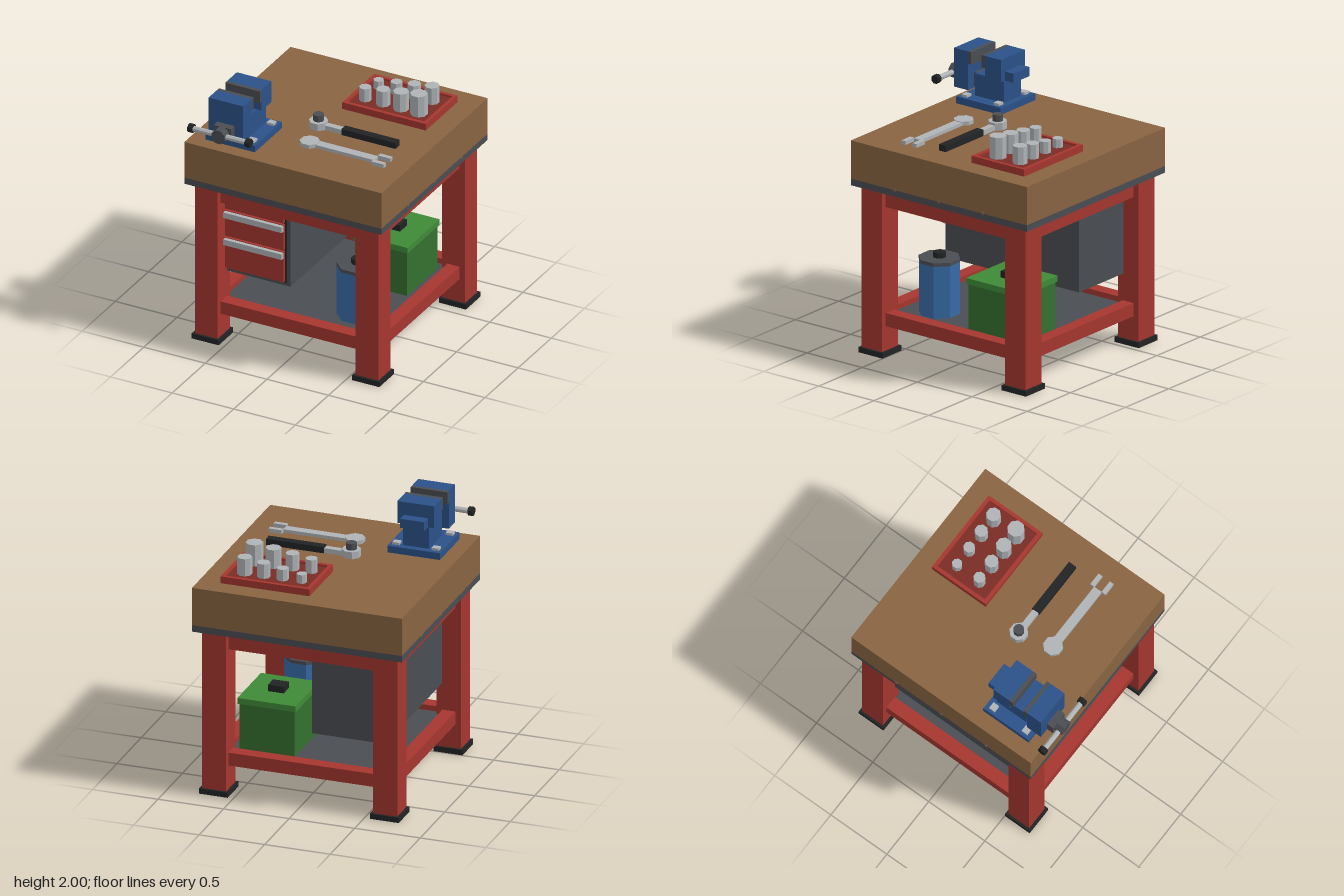
import * as THREE from 'three';

const mat = (name, color) => {
  const m = new THREE.MeshStandardMaterial({ color, flatShading: true });
  m.name = name;
  return m;
};

export function createModel() {
  const wood = mat('wood', 0x886442), red = mat('redPaint', 0xa6362f), darkRed = mat('trayRed', 0x7a2c24);
  const steel = mat('darkSteel', 0x4a4d52), black = mat('blackRubber', 0x222324), metal = mat('brightMetal', 0xb0b4b7);
  const viseBlue = mat('viseBlue', 0x2b5288), canBlue = mat('canBlue', 0x386ba8);
  const green = mat('boxGreen', 0x357030), lidGreen = mat('lidGreen', 0x3f8a38);

  const model = new THREE.Group();
  model.name = 'workbench';
  const group = (name) => {
    const g = new THREE.Group();
    g.name = name;
    model.add(g);
    return g;
  };
  // Box given by its limits on each axis
  const box = (parent, name, m, x0, x1, y0, y1, z0, z1) => {
    const mesh = new THREE.Mesh(new THREE.BoxGeometry(x1 - x0, y1 - y0, z1 - z0), m);
    mesh.position.set((x0 + x1) / 2, (y0 + y1) / 2, (z0 + z1) / 2);
    mesh.name = name;
    parent.add(mesh);
    return mesh;
  };
  // Octagonal prism, flats facing the axes; r is the distance to the flats
  const prism = (parent, name, m, r, len, x, y, z, axis = 'y') => {
    const geo = new THREE.CylinderGeometry(r / Math.cos(Math.PI / 8), r / Math.cos(Math.PI / 8), len, 8);
    geo.rotateY(Math.PI / 8);
    if (axis === 'x') geo.rotateZ(Math.PI / 2);
    if (axis === 'z') geo.rotateX(Math.PI / 2);
    const mesh = new THREE.Mesh(geo, m);
    mesh.position.set(x, y, z);
    mesh.name = name;
    parent.add(mesh);
    return mesh;
  };

  // Table top
  const top = group('tableTop');
  box(top, 'woodTop', wood, -0.8, 0.8, 1.32, 1.61, -0.84, 0.76);
  box(top, 'steelPlate', steel, -0.8, 0.8, 1.27, 1.32, -0.84, 0.76);
  for (const z of [-0.44, -0.04, 0.36]) prism(top, 'topDowel', wood, 0.012, 1.606, 0, 1.322, z, 'x');

  // Legs, feet, aprons and lower rails
  const frame = group('frame');
  const legX = 0.652, legZ = [-0.692, 0.612], half = 0.0925, rail = 0.05;
  for (const z of legZ) {
    for (const x of [-legX, legX]) {
      box(frame, 'leg', red, x - half, x + half, 0.04, 1.27, z - half, z + half);
      box(frame, 'foot', black, x - 0.11, x + 0.11, 0, 0.04, z - 0.11, z + 0.11);
    }
  }
  for (const [name, y0, y1] of [['apron', 1.13, 1.27], ['lowerRail', 0.225, 0.325]]) {
    for (const z of legZ) box(frame, name, red, -0.56, 0.56, y0, y1, z - rail, z + rail);
    for (const x of [-legX, legX]) box(frame, name, red, x - rail, x + rail, y0, y1, -0.6, 0.52);
  }
  box(frame, 'shelf', steel, -0.602, 0.602, 0.25, 0.285, -0.642, 0.562);

  // Drawer cabinet
  const cabinet = group('drawerCabinet');
  box(cabinet, 'cabinetBody', steel, -0.6, -0.045, 0.53, 1.27, -0.65, 0.562);
  box(cabinet, 'drawerGap', black, -0.58, -0.075, 0.555, 1.26, 0.56, 0.568);
  for (const [y0, y1] of [[0.567, 0.815], [0.83, 1.035], [1.05, 1.25]]) {
    box(cabinet, 'drawerFront', red, -0.565, -0.085, y0, y1, 0.565, 0.59);
    box(cabinet, 'drawerHandle', metal, -0.56, -0.085, y1 - 0.05, y1 - 0.005, 0.59, 0.62);
  }

  // Green storage box on the shelf
  const chest = group('storageBox');
  box(chest, 'boxBody', green, 0.12, 0.54, 0.285, 0.64, -0.565, -0.105);
  box(chest, 'boxLid', lidGreen, 0.108, 0.552, 0.64, 0.685, -0.577, -0.093);
  box(chest, 'boxGrip', black, 0.27, 0.39, 0.685, 0.735, -0.385, -0.28);

  // Blue can on the shelf
  const can = group('can');
  prism(can, 'canBody', canBlue, 0.14, 0.395, 0.36, 0.4825, 0.3);
  prism(can, 'canLid', steel, 0.142, 0.026, 0.36, 0.693, 0.3);
  prism(can, 'canKnob', black, 0.044, 0.04, 0.36, 0.726, 0.3);

  // Bench vise
  const vise = group('vise');
  const vx = -0.484;
  const vbox = (name, m, w, y0, y1, z0, z1) => box(vise, name, m, vx - w / 2, vx + w / 2, y0, y1, z0, z1);
  vbox('viseBase', viseBlue, 0.4, 1.61, 1.662, 0.25, 0.655);
  vbox('viseBody', viseBlue, 0.2, 1.662, 1.83, 0.3, 0.56);
  vbox('rearJaw', viseBlue, 0.28, 1.83, 2, 0.295, 0.44);
  vbox('rearJawPlate', steel, 0.28, 1.905, 2, 0.44, 0.47);
  vbox('anvil', viseBlue, 0.185, 1.83, 1.9, 0.218, 0.295);
  vbox('frontJaw', viseBlue, 0.28, 1.705, 2, 0.595, 0.72);
  vbox('frontJawPlate', steel, 0.28, 1.905, 2, 0.565, 0.595);
  vbox('slideBar', steel, 0.138, 1.718, 1.822, 0.5, 0.775);
  prism(vise, 'spindleHub', steel, 0.052, 0.08, vx, 1.77, 0.8, 'z');
  prism(vise, 'viseHandle', metal, 0.019, 0.44, vx, 1.77, 0.808, 'x');
  for (const s of [-1, 1]) {
    prism(vise, 'handleCap', black, 0.031, 0.038, vx + s * 0.232, 1.77, 0.808, 'x');
    for (const z of [0.31, 0.6]) {
      const x = vx + s * 0.15;
      box(vise, 'baseBolt', metal, x - 0.027, x + 0.027, 1.662, 1.68, z - 0.025, z + 0.025);
    }
  }

  // Open-ended wrench
  const wrench = group('wrench');
  prism(wrench, 'wrenchHead', metal, 0.068, 0.03, 0.003, 1.625, 0.36);
  box(wrench, 'wrenchShaft', metal, 0.05, 0.54, 1.61, 1.635, 0.325, 0.393);
  for (const z of [0.292, 0.392]) box(wrench, 'wrenchProng', metal, 0.538, 0.638, 1.61, 1.64, z, z + 0.034);

  // Ratchet
  const ratchet = group('ratchet');
  prism(ratchet, 'ratchetHead', metal, 0.064, 0.055, -0.064, 1.6375, 0.104);
  prism(ratchet, 'ratchetDrive', steel, 0.037, 0.05, -0.064, 1.69, 0.104);
  box(ratchet, 'ratchetNeck', metal, -0.02, 0.14, 1.61, 1.647, 0.08, 0.128);
  box(ratchet, 'ratchetGrip', black, 0.137, 0.577, 1.61, 1.657, 0.073, 0.135);

  // Socket tray with raised rim
  const tray = group('socketTray');
  box(tray, 'trayFloor', darkRed, -0.012, 0.61, 1.61, 1.648, -0.66, -0.237);
  for (const [z0, z1] of [[-0.688, -0.66], [-0.237, -0.208]]) box(tray, 'trayRim', red, -0.04, 0.638, 1.61, 1.663, z0, z1);
  for (const [x0, x1] of [[-0.04, -0.012], [0.61, 0.638]]) box(tray, 'trayRim', red, x0, x1, 1.61, 1.663, -0.66, -0.237);
  for (let i = 0; i < 4; i++) {
    for (const [z, r, h] of [[-0.548, 0.035 + i * 0.005, 1.715 + i * 0.022], [-0.348, 0.041 + i * 0.006, 1.753 + i * 0.02]]) {
      prism(tray, 'socket', metal, r, h - 1.64, 0.072 + i * 0.145, (h + 1.64) / 2, z);
    }
  }
  return model;
}
